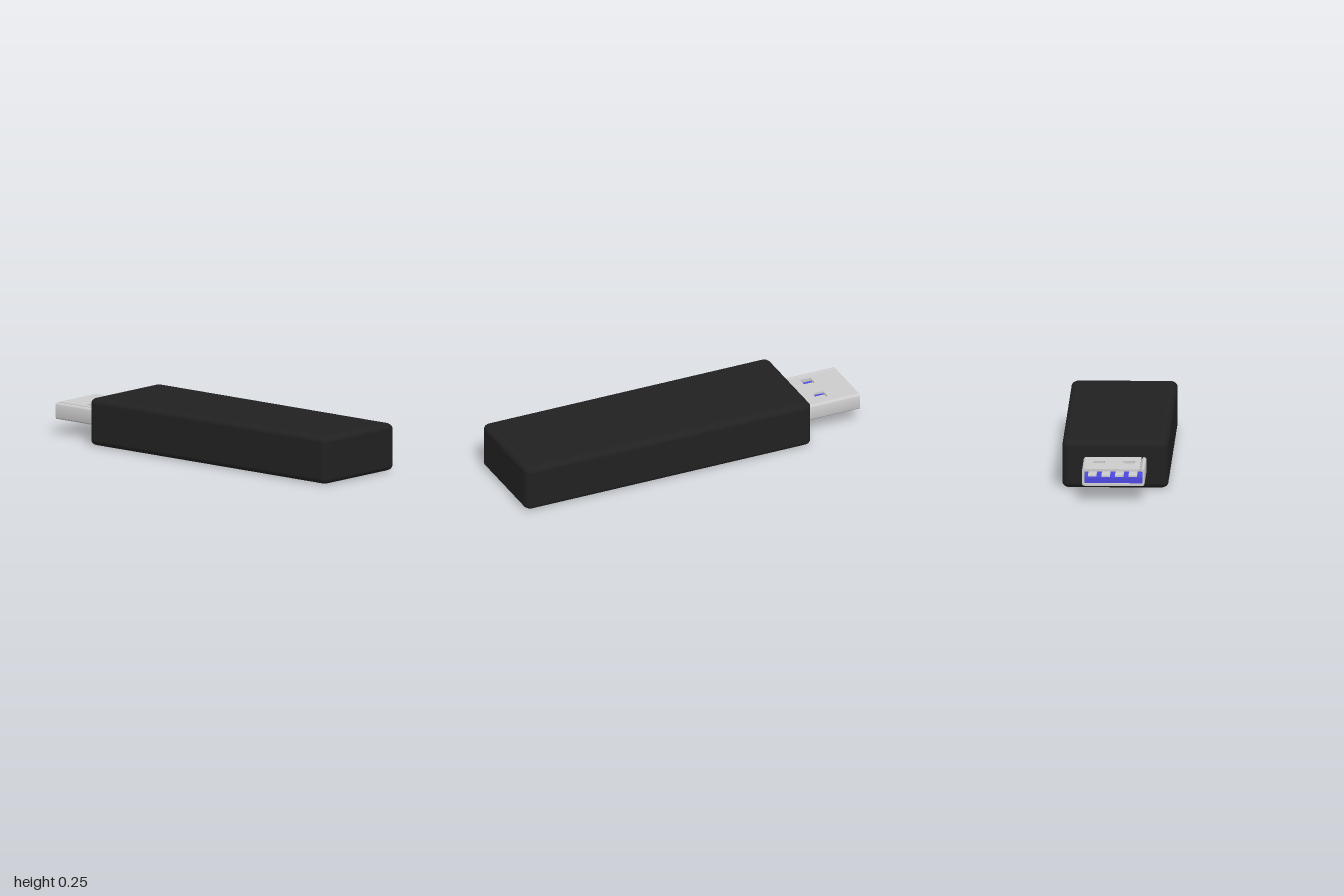
import * as THREE from 'three';
import { RoundedBoxGeometry } from 'three/addons/geometries/RoundedBoxGeometry.js';
import { toCreasedNormals } from 'three/addons/utils/BufferGeometryUtils.js';

const HALF_W = 0.166, BOTTOM = 0.08, TOP = 0.17, WALL = 0.012, SEAM = 0.14;
const MOUTH = -1, ROOT = -0.64;

function roundedRect(path, cx, cy, w, h, r) {
  const x = w / 2, y = h / 2;
  path.absarc(cx + x - r, cy - y + r, r, -Math.PI / 2, 0);
  path.absarc(cx + x - r, cy + y - r, r, 0, Math.PI / 2);
  path.absarc(cx - x + r, cy + y - r, r, Math.PI / 2, Math.PI);
  path.absarc(cx - x + r, cy - y + r, r, Math.PI, Math.PI * 1.5);
  path.closePath();
  return path;
}

export function createModel() {
  const group = new THREE.Group();
  const black = new THREE.MeshStandardMaterial({ color: 0x212121 });
  const grey = new THREE.MeshStandardMaterial({ color: 0xcccccc });
  const blue = new THREE.MeshStandardMaterial({ color: 0x4c48e0 });

  function add(parent, name, geometry, material, x = 0, y = 0, z = 0) {
    const mesh = new THREE.Mesh(geometry, material);
    mesh.name = name;
    mesh.position.set(x, y, z);
    parent.add(mesh);
    return mesh;
  }

  // Casing: long block with soft, slightly flattened edges
  const casing = new RoundedBoxGeometry(0.56, 0.34, 1.67, 6, 0.04).scale(1, 0.75, 1);
  add(group, 'casing', casing, black, 0, 0.1275, 0.165);

  const plug = new THREE.Group();
  plug.name = 'plug';
  group.add(plug);

  // Metal sleeve: bottom, sides and rounded corners, open along the top
  const R = 0.015, r = 0.005, ix = HALF_W - WALL;
  const profile = new THREE.Shape();
  profile.moveTo(-SEAM, TOP);
  profile.absarc(-HALF_W + R, TOP - R, R, Math.PI / 2, Math.PI);
  profile.absarc(-HALF_W + R, BOTTOM + R, R, Math.PI, Math.PI * 1.5);
  profile.absarc(HALF_W - R, BOTTOM + R, R, -Math.PI / 2, 0);
  profile.absarc(HALF_W - R, TOP - R, R, 0, Math.PI / 2);
  profile.lineTo(SEAM, TOP);
  profile.lineTo(SEAM, TOP - WALL);
  profile.absarc(ix - r, TOP - WALL - r, r, Math.PI / 2, 0, true);
  profile.absarc(ix - r, BOTTOM + WALL + r, r, 0, -Math.PI / 2, true);
  profile.absarc(-ix + r, BOTTOM + WALL + r, r, Math.PI * 1.5, Math.PI, true);
  profile.absarc(-ix + r, TOP - WALL - r, r, Math.PI, Math.PI / 2, true);
  profile.lineTo(-SEAM, TOP - WALL);
  profile.closePath();
  const sleeve = new THREE.ExtrudeGeometry(profile, { depth: ROOT - MOUTH, bevelEnabled: false, curveSegments: 5 });
  add(plug, 'sleeve', toCreasedNormals(sleeve, 0.6), grey, 0, 0, MOUTH);

  // Sleeve top with its two latch windows (shape y runs toward -z)
  const plate = new THREE.Shape();
  plate.moveTo(-SEAM, -ROOT);
  plate.lineTo(SEAM, -ROOT);
  plate.lineTo(SEAM, -MOUTH);
  plate.lineTo(-SEAM, -MOUTH);
  plate.closePath();
  for (const side of [-1, 1]) {
    plate.holes.push(roundedRect(new THREE.Path(), side * 0.079, 0.807, 0.06, 0.06, 0.012));
  }
  const sleeveTop = new THREE.ExtrudeGeometry(plate, { depth: WALL, bevelEnabled: false, curveSegments: 5 });
  sleeveTop.rotateX(-Math.PI / 2);
  add(plug, 'sleeveTop', toCreasedNormals(sleeveTop, 0.6), grey, 0, TOP - WALL, 0);

  // Insulating tongue carrying four contacts
  add(plug, 'tongue', new THREE.BoxGeometry(0.305, 0.03, 0.345), blue, 0, 0.107, -0.8125);
  for (let i = 0; i < 4; i++) {
    add(plug, 'contact', new THREE.BoxGeometry(0.045, 0.008, 0.33), grey, -0.102 + i * 0.0715, 0.125, -0.8);
  }
  return group;
}
